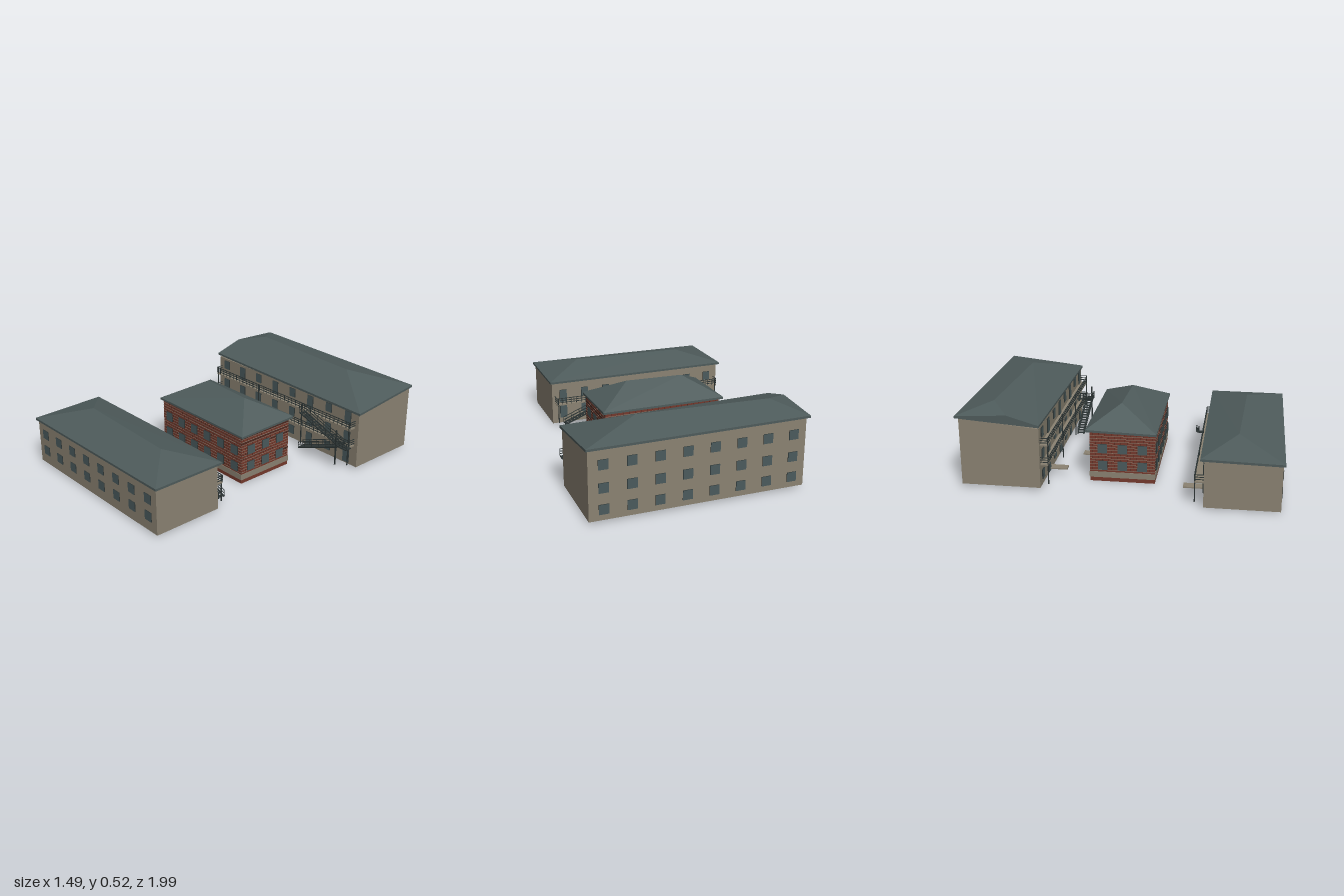
import * as THREE from 'three';
import { mergeGeometries } from 'three/addons/utils/BufferGeometryUtils.js';

const mat = (name, color) => Object.assign(new THREE.MeshStandardMaterial({ color }), { name });

export function createModel() {
  const wallMat = mat('plaster', 0x8a8272), roofMat = mat('roof slate', 0x4e5b5b);
  const glassMat = mat('window glass', 0x4a5a5c), frameMat = mat('dark steel', 0x2c3434);
  const brickMat = mat('brick', 0x74392c), mortarMat = mat('mortar', 0x8c7b6c);
  const jointMat = mat('dark joint', 0x4c2820);
  const paneMats = [frameMat, frameMat, frameMat, frameMat, glassMat, frameMat];
  const model = new THREE.Group();

  const add = (parent, name, geo, material) => {
    const m = new THREE.Mesh(geo, material);
    m.name = name;
    parent.add(m);
    return m;
  };
  const group = (name) => {
    const g = new THREE.Group();
    g.name = name;
    model.add(g);
    return g;
  };
  // box given by its minimum and maximum corners
  const block = (x0, x1, y0, y1, z0, z1) =>
    new THREE.BoxGeometry(x1 - x0, y1 - y0, z1 - z0).translate((x0 + x1) / 2, (y0 + y1) / 2, (z0 + z1) / 2);
  // square bar between two points
  const bar = (a, b, t = 0.004) => {
    const p = new THREE.Vector3(...a), q = new THREE.Vector3(...b), d = q.clone().sub(p);
    const turn = new THREE.Quaternion().setFromUnitVectors(new THREE.Vector3(0, 1, 0), d.clone().normalize());
    const mid = p.add(q).multiplyScalar(0.5);
    return new THREE.BoxGeometry(t, d.length(), t).applyQuaternion(turn).translate(mid.x, mid.y, mid.z);
  };

  // wall block whose top may slope from front to back
  function walls(parent, name, x0, x1, y0, zf, yf, zb, yb, material) {
    const s = new THREE.Shape([[-zf, y0], [-zb, y0], [-zb, yb], [-zf, yf]].map((p) => new THREE.Vector2(...p)));
    const geo = new THREE.ExtrudeGeometry(s, { depth: x1 - x0, bevelEnabled: false });
    geo.rotateY(Math.PI / 2).translate(x0, 0, 0);
    return add(parent, name, geo, material);
  }

  // hipped roof: eave points are [x, y, z, ridge end, drop of the fascia]
  function roof(parent, eave, ridge) {
    const v = [], n = eave.length;
    const tri = (...pts) => pts.forEach((p) => v.push(p[0], p[1], p[2]));
    const low = eave.map((p) => [p[0], p[1] - (p[4] ?? 0.014), p[2]]);
    for (let i = 0; i < n; i++) {
      const j = (i + 1) % n, a = eave[i], b = eave[j], ra = ridge[a[3]], rb = ridge[b[3]];
      tri(a, b, rb);
      if (a[3] !== b[3]) tri(a, rb, ra);
      tri(low[i], low[j], b, low[i], b, a);
      if (i > 0 && j > 0) tri(low[j], low[i], low[0]);
    }
    const geo = new THREE.BufferGeometry();
    geo.setAttribute('position', new THREE.Float32BufferAttribute(v, 3));
    geo.computeVertexNormals();
    add(parent, 'roof', geo, roofMat);
  }

  // raised pane, turned to face the given direction
  function pane(parent, name, x, y, z, turn, w = 0.06, h = 0.06) {
    const m = add(parent, name, new THREE.BoxGeometry(w, h, 0.016), paneMats);
    m.position.set(x, y, z);
    m.rotation.y = turn;
  }

  // railing along x with balusters and three rails
  function railing(parent, x0, x1, y, z) {
    const parts = [0.014, 0.029, 0.044].map((h) => bar([x0, y + h, z], [x1, y + h, z]));
    const n = Math.max(2, Math.round((x1 - x0) / 0.035));
    for (let i = 0; i <= n; i++) {
      const x = x0 + ((x1 - x0) * i) / n;
      parts.push(bar([x, y, z], [x, y + 0.045, z], 0.003));
    }
    add(parent, 'railing', mergeGeometries(parts), frameMat);
  }

  // gallery deck with railings; zi is at the wall, zo is the outer edge
  function balcony(parent, x0, x1, y, zi, zo) {
    add(parent, 'balconyDeck', block(x0, x1, y - 0.008, y, Math.min(zi, zo), Math.max(zi, zo)), wallMat);
    railing(parent, x0, x1, y, zo);
    const ends = [];
    for (const x of [x0, x1])
      for (const h of [0.014, 0.029, 0.044]) ends.push(bar([x, y + h, zi], [x, y + h, zo]));
    add(parent, 'endRails', mergeGeometries(ends), frameMat);
  }

  // open steel stair flight from the low end to the high end
  function flight(parent, xl, yl, xh, yh, z, width = 0.044) {
    const parts = [];
    for (const s of [-0.5, 0.5]) {
      const zz = z + s * width;
      for (const h of [0, 0.022, 0.042]) parts.push(bar([xl, yl + h, zz], [xh, yh + h, zz], h ? 0.0035 : 0.007));
      for (let i = 0; i <= 6; i++) {
        const x = xl + ((xh - xl) * i) / 6, y = yl + ((yh - yl) * i) / 6;
        parts.push(bar([x, y, zz], [x, y + 0.042, zz], 0.003));
      }
    }
    for (let i = 0; i < 14; i++) {
      const t = (i + 0.5) / 14, x = xl + (xh - xl) * t, y = yl + (yh - yl) * t;
      parts.push(block(x - 0.011, x + 0.011, y - 0.002, y + 0.002, z - width / 2, z + width / 2));
    }
    add(parent, 'stairFlight', mergeGeometries(parts), frameMat);
  }

  // windows on the plain side; doors and windows on the gallery side
  function openings(parent, xs, rows, zPlain, zGallery) {
    const dir = zPlain > zGallery ? 0 : Math.PI;
    rows.forEach((y, r) => xs.forEach((x, c) => {
      pane(parent, 'window', x, y, zPlain, dir);
      if (c % 2) pane(parent, 'door', x, y - 0.012, zGallery, Math.PI - dir, 0.05, 0.09);
      else pane(parent, 'window', x, y + (r ? 0.005 : 0), zGallery, Math.PI - dir, 0.05, 0.06);
    }));
  }
  const columns = (n, x0, step) => Array.from({ length: n }, (_, i) => x0 + i * step);

  // two-storey front block
  const front = group('frontBlock');
  walls(front, 'walls', -0.73, 0.52, 0.01, 0.983, 0.312, 0.528, 0.316, wallMat);
  roof(front, [[-0.745, 0.313, 0.995, 0], [0.535, 0.322, 0.995, 1], [0.535, 0.322, 0.505, 1], [-0.745, 0.322, 0.505, 0]],
    [[-0.48, 0.39, 0.72], [0.27, 0.39, 0.75]]);
  openings(front, columns(8, -0.65, 0.156), [0.107, 0.22], 0.98, 0.527);
  balcony(front, -0.71, 0.5, 0.165, 0.53, 0.472);
  flight(front, 0.46, 0.03, 0.12, 0.165, 0.446);
  add(front, 'porchSlab', block(-0.51, -0.45, 0.03, 0.038, 0.39, 0.53), wallMat);
  for (const x of [-0.7, -0.3, 0.1, 0.49]) add(front, 'post', bar([x, 0.03, 0.474], [x, 0.21, 0.474], 0.006), frameMat);

  // three-storey back block
  const back = group('backBlock');
  walls(back, 'walls', -0.61, 0.728, 0.018, -0.48, 0.405, -0.977, 0.45, wallMat);
  roof(back, [[-0.625, 0.43, -0.475, 0], [0.74, 0.405, -0.47, 1], [0.74, 0.46, -0.99, 1],
    [-0.625, 0.468, -0.998, 0], [-0.625, 0.487, -0.674, 0, 0.055]],
    [[-0.46, 0.525, -0.79], [0.37, 0.525, -0.75]]);
  openings(back, columns(8, -0.53, 0.167), [0.085, 0.215, 0.355], -0.975, -0.481);
  balcony(back, -0.59, 0.7, 0.168, -0.48, -0.432);
  balcony(back, -0.59, 0.7, 0.295, -0.48, -0.432);
  flight(back, 0.3, 0.035, 0.66, 0.172, -0.405);
  flight(back, 0.66, 0.172, 0.3, 0.295, -0.405);
  add(back, 'stairLanding', block(0.655, 0.72, 0.166, 0.172, -0.43, -0.381), frameMat);
  railing(back, 0.655, 0.72, 0.172, -0.383);
  add(back, 'porchSlab', block(-0.355, -0.295, 0.038, 0.046, -0.365, -0.48), wallMat).geometry =
    block(-0.355, -0.295, 0.038, 0.046, -0.48, -0.365);
  add(back, 'stairPost', bar([0.63, 0.035, -0.383], [0.63, 0.28, -0.383], 0.008), frameMat);
  for (const x of [-0.58, -0.15, 0.27, 0.69]) add(back, 'post', bar([x, 0.035, -0.434], [x, 0.34, -0.434], 0.006), frameMat);

  // brick middle block on a plastered plinth
  const mid = group('middleBlock');
  add(mid, 'brickWalls', block(-0.41, 0.373, 0, 0.33, -0.205, 0.205), brickMat);
  add(mid, 'plinth', block(-0.413, 0.376, 0.026, 0.064, -0.208, 0.208), wallMat);
  const mortar = [], joints = [];
  for (let i = 0; i < 13; i++) {
    const y = 0.075 + i * 0.019, off = (i % 2) * 0.02;
    mortar.push(block(-0.411, 0.374, y, y + 0.003, -0.206, 0.206));
    for (let x = -0.39 + off; x < 0.37; x += 0.04) joints.push(block(x, x + 0.003, y + 0.003, y + 0.019, -0.206, 0.206));
    for (let z = -0.19 + off; z < 0.2; z += 0.04) joints.push(block(-0.411, 0.374, y + 0.003, y + 0.019, z, z + 0.003));
  }
  add(mid, 'mortarCourses', mergeGeometries(mortar), mortarMat);
  add(mid, 'brickJoints', mergeGeometries(joints), jointMat);
  roof(mid, [[-0.43, 0.335, 0.215, 0], [0.39, 0.335, 0.215, 1], [0.39, 0.345, -0.23, 1], [-0.43, 0.345, -0.23, 0]],
    [[-0.215, 0.46, -0.03], [0.16, 0.46, -0.012]]);
  for (const y of [0.108, 0.22]) {
    for (const x of columns(6, -0.345, 0.131)) {
      pane(mid, 'window', x, y, 0.205, 0);
      if (y > 0.2 || Math.abs(x + 0.06) > 0.04) pane(mid, 'window', x, y, -0.205, Math.PI);
    }
    for (const z of [-0.125, 0, 0.125]) {
      pane(mid, 'window', 0.37, y, z, Math.PI / 2);
      pane(mid, 'window', -0.407, y, z, -Math.PI / 2);
    }
  }
  pane(mid, 'door', -0.06, 0.095, -0.207, Math.PI, 0.05, 0.095);
  add(mid, 'porchSlab', block(-0.09, -0.03, 0.038, 0.046, -0.31, -0.2), wallMat);

  return model;
}
